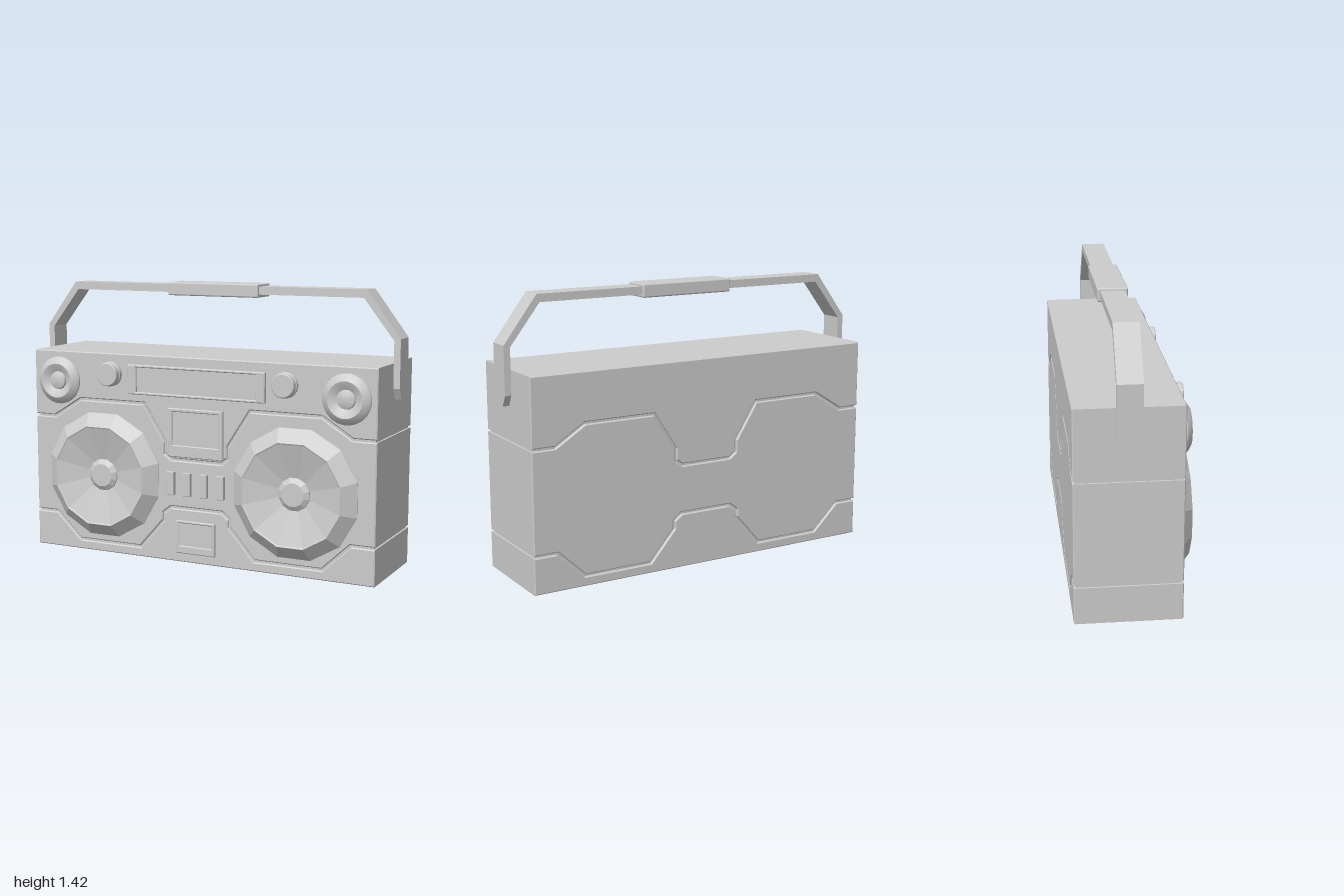
import * as THREE from 'three';
import { toCreasedNormals } from 'three/addons/utils/BufferGeometryUtils.js';
import { RoundedBoxGeometry } from 'three/addons/geometries/RoundedBoxGeometry.js';

const FRONT = 0.23, BACK = -0.285;

export function createModel() {
  const model = new THREE.Group();
  model.name = 'portableStereo';
  const grey = new THREE.MeshStandardMaterial({ color: 0xcccccc });
  grey.name = 'light grey';

  function add(name, geometry, x = 0, y = 0, z = 0, parent = model) {
    const mesh = new THREE.Mesh(geometry, grey);
    mesh.name = name;
    mesh.position.set(x, y, z);
    parent.add(mesh);
    return mesh;
  }
  const outline = (pts) => new THREE.Shape(pts.map(([x, y]) => new THREE.Vector2(x, y)));
  // left half of a line, continued to the right by mirroring
  const mirrored = (pts) => [...pts, ...pts.map(([x, y]) => [-x, y]).reverse()];
  const rect = (x, y0, y1) => [[-x, y0], [x, y0], [x, y1], [-x, y1]];

  // round parts, turned about z; profile runs from the outer base to the centre
  function turned(profile, sides, flat) {
    const pts = profile.map(([r, z]) => new THREE.Vector2(r, z));
    const g = new THREE.LatheGeometry(pts, sides, Math.PI / sides).rotateX(Math.PI / 2);
    if (!flat) return toCreasedNormals(g, 0.5);
    const faceted = g.toNonIndexed();
    faceted.computeVertexNormals();
    return faceted;
  }

  // --- Case: three interlocking bands separated by narrow grooves ---
  const GAP = 0.006, BEVEL = 0.005, W = 0.96 + GAP;
  const upper = mirrored([[-W, 0.71], [-0.84, 0.71], [-0.68, 0.81], [-0.3, 0.81],
    [-0.178, 0.62], [-0.178, 0.56], [-0.14, 0.533]]);
  const lower = mirrored([[-W, 0.19], [-0.835, 0.19], [-0.69, 0.053], [-0.325, 0.053],
    [-0.187, 0.21], [-0.187, 0.25], [-0.145, 0.283]]);
  function band(name, pts) {
    const g = new THREE.ExtrudeGeometry(outline(pts), {
      depth: FRONT - BACK - 2 * BEVEL, bevelEnabled: true, bevelSegments: 1,
      bevelThickness: BEVEL, bevelSize: BEVEL, bevelOffset: -GAP - BEVEL,
    });
    add(name, g, 0, 0, BACK + BEVEL);
  }
  band('upperCase', [...upper, [W, 1.06 + GAP], [-W, 1.06 + GAP]]);
  band('middleCase', [...lower, ...[...upper].reverse()]);
  band('lowerCase', [[-W, -GAP], [W, -GAP], ...[...lower].reverse()]);
  add('grooveCore', new THREE.BoxGeometry(1.9, 1.03, FRONT - BACK - 0.024), 0, 0.53, (FRONT + BACK) / 2);

  // --- Speakers and knobs, one set per side ---
  const woofer = turned([[0.337, -0.005], [0.337, 0.004], [0.268, 0.06], [0.26, 0.056], [0.085, 0.006]], 12, true);
  const wooferCap = turned([[0.086, 0.002], [0.084, 0.012], [0.06, 0.027], [0, 0.027]], 12, true);
  const tweeter = turned([[0.125, -0.005], [0.125, 0.008], [0.115, 0.02], [0.09, 0.036], [0.083, 0.034],
    [0.048, 0.014], [0.045, 0.024], [0.025, 0.032], [0, 0.032]], 24, false);
  const knob = turned([[0.064, -0.005], [0.064, 0.018], [0.06, 0.022], [0.06, 0.046], [0.056, 0.05], [0, 0.05]], 24, false);
  for (const [side, s] of [['left', 1], ['right', -1]]) {
    add(side + 'Woofer', woofer, s * 0.542, 0.418, FRONT);
    add(side + 'WooferCap', wooferCap, s * 0.542, 0.418, FRONT);
    add(side + 'Tweeter', tweeter, s * 0.807, 0.904, FRONT);
    add(side + 'Knob', knob, s * 0.492, 0.954, FRONT);
  }

  // --- Framed panels on the front ---
  function framed(name, outer, inner, height) {
    const shape = outline(rect(...outer));
    shape.holes.push(outline(rect(...inner)));
    const g = new THREE.ExtrudeGeometry(shape, {
      depth: height, bevelEnabled: true, bevelSegments: 1,
      bevelThickness: 0.004, bevelSize: 0.004, bevelOffset: -0.004,
    });
    add(name + 'Frame', g, 0, 0, FRONT - 0.004);
    const [x, y0, y1] = inner;
    add(name + 'Face', new THREE.BoxGeometry(2 * x + 0.01, y1 - y0 + 0.01, 0.012), 0, (y0 + y1) / 2, FRONT);
  }
  framed('tuner', [0.385, 0.857, 1.01], [0.337, 0.87, 0.997], 0.018);
  framed('cassetteDoor', [0.155, 0.55, 0.8], [0.13, 0.61, 0.782], 0.014);
  framed('lowerPanel', [0.11, 0.048, 0.22], [0.092, 0.088, 0.207], 0.012);

  // --- Row of push buttons ---
  for (let i = 0; i < 4; i++) {
    add('button' + (i + 1), new RoundedBoxGeometry(0.044, 0.122, 0.034, 1, 0.004),
      -0.141 + i * 0.094, 0.411, FRONT + 0.004);
  }

  // --- Carrying handle: bent strap, chamfered ends and grip ---
  const handle = new THREE.Group();
  handle.name = 'handle';
  handle.position.z = -0.03;
  model.add(handle);
  const outside = mirrored([[-1, 0.94], [-1, 1.18], [-0.825, 1.412]]);
  const inside = mirrored([[-0.967, 0.94], [-0.967, 1.17], [-0.81, 1.372]]);
  add('strap', new THREE.ExtrudeGeometry(outline([...outside, ...inside.reverse()]),
    { depth: 0.12, bevelEnabled: false }), 0, 0, -0.06, handle);
  const tab = new THREE.ExtrudeGeometry(
    outline([[-0.06, 0.94], [-0.03, 0.885], [0.03, 0.885], [0.06, 0.94]]),
    { depth: 0.033, bevelEnabled: false }).rotateY(Math.PI / 2);
  add('leftStrapEnd', tab, 0.967, 0, 0, handle);
  add('rightStrapEnd', tab, -1, 0, 0, handle);
  for (const s of [1, -1]) {
    add(s > 0 ? 'leftPivot' : 'rightPivot',
      new THREE.CylinderGeometry(0.03, 0.03, 0.03, 16).rotateZ(Math.PI / 2), s * 0.965, 0.95, 0, handle);
  }
  add('grip', new RoundedBoxGeometry(0.51, 0.068, 0.15, 2, 0.008), 0, 1.39, 0, handle);

  return model;
}
